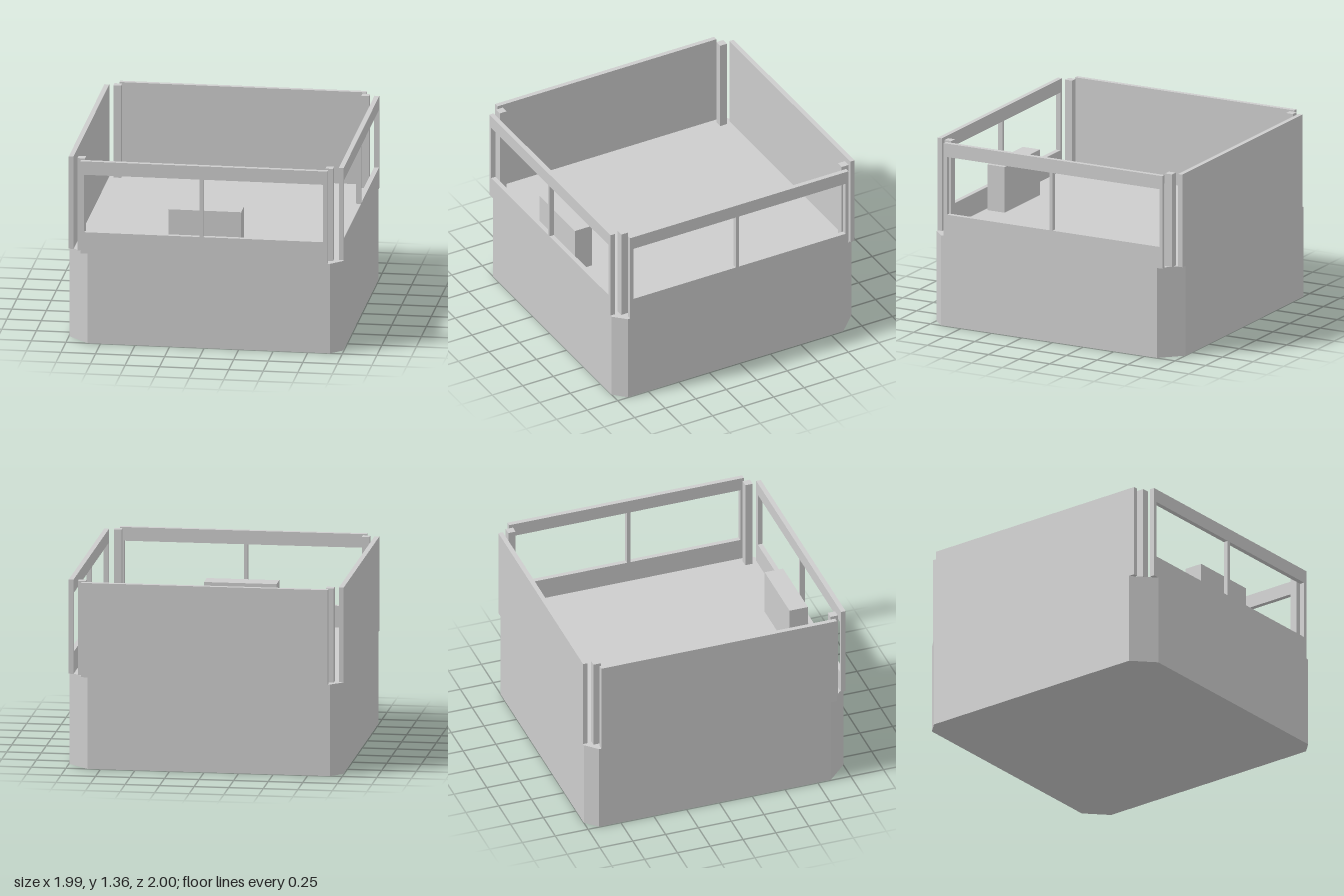
import * as THREE from 'three';

const FLOOR = 0.67, TOP = 1.36, HX = 0.995, HZ = 1, WALL = 0.035;

export function createModel() {
  const model = new THREE.Group();
  model.name = 'cabin';
  const grey = new THREE.MeshStandardMaterial({ color: 0xcccccc });
  grey.name = 'plain grey';

  const add = (name, geometry) => {
    const mesh = new THREE.Mesh(geometry, grey);
    mesh.name = name;
    model.add(mesh);
    return mesh;
  };
  // Box given by its lower and upper corners
  const box = (name, x0, y0, z0, x1, y1, z1) =>
    add(name, new THREE.BoxGeometry(x1 - x0, y1 - y0, z1 - z0))
      .position.set((x0 + x1) / 2, (y0 + y1) / 2, (z0 + z1) / 2);

  // Solid base: two small and two large cut corners (shape y is -z)
  const s = 0.085, b = 0.15;
  const outline = new THREE.Shape([
    [-HX + b, -HZ], [HX - s, -HZ], [HX, -HZ + s], [HX, HZ - b],
    [HX - b, HZ], [-HX + s, HZ], [-HX, HZ - s], [-HX, -HZ + b],
  ].map(([x, y]) => new THREE.Vector2(x, y)));
  const base = new THREE.ExtrudeGeometry(outline, { depth: FLOOR, bevelEnabled: false });
  base.rotateX(-Math.PI / 2);
  add('base', base);

  // Solid back and right-hand walls
  box('backWall', -0.895, FLOOR, -HZ, 0.892, TOP, -HZ + WALL);
  box('rightWall', -HX, FLOOR, -0.897, -HX + WALL, TOP, 0.897);

  // Walls with a pair of windows, split by a narrow mullion
  const rect = (Type, x0, y0, x1, y1) => new Type([
    new THREE.Vector2(x0, y0), new THREE.Vector2(x1, y0),
    new THREE.Vector2(x1, y1), new THREE.Vector2(x0, y1),
  ]);
  const windowWall = (panes) => {
    const shape = rect(THREE.Shape, -0.895, FLOOR, 0.893, TOP);
    for (const [x0, x1] of panes) shape.holes.push(rect(THREE.Path, x0, 0.83, x1, 1.26));
    return new THREE.ExtrudeGeometry(shape, { depth: WALL, bevelEnabled: false });
  };
  add('frontWindowWall', windowWall([[-0.868, -0.033], [-0.006, 0.861]]))
    .position.z = HZ - WALL;
  const side = add('leftWindowWall', windowWall([[-0.868, -0.03], [-0.004, 0.868]]));
  side.rotation.y = Math.PI / 2;
  side.position.x = HX - WALL;

  // Corner posts
  for (const x of [-0.9, 0.895])
    for (const z of [-0.905, 0.9])
      box('cornerPost', x - 0.028, FLOOR, z - 0.028, x + 0.028, TOP, z + 0.028);

  // Control console behind the front window
  box('console', -0.265, FLOOR, 0.8, 0.26, 1.01, 0.94);

  return model;
}
